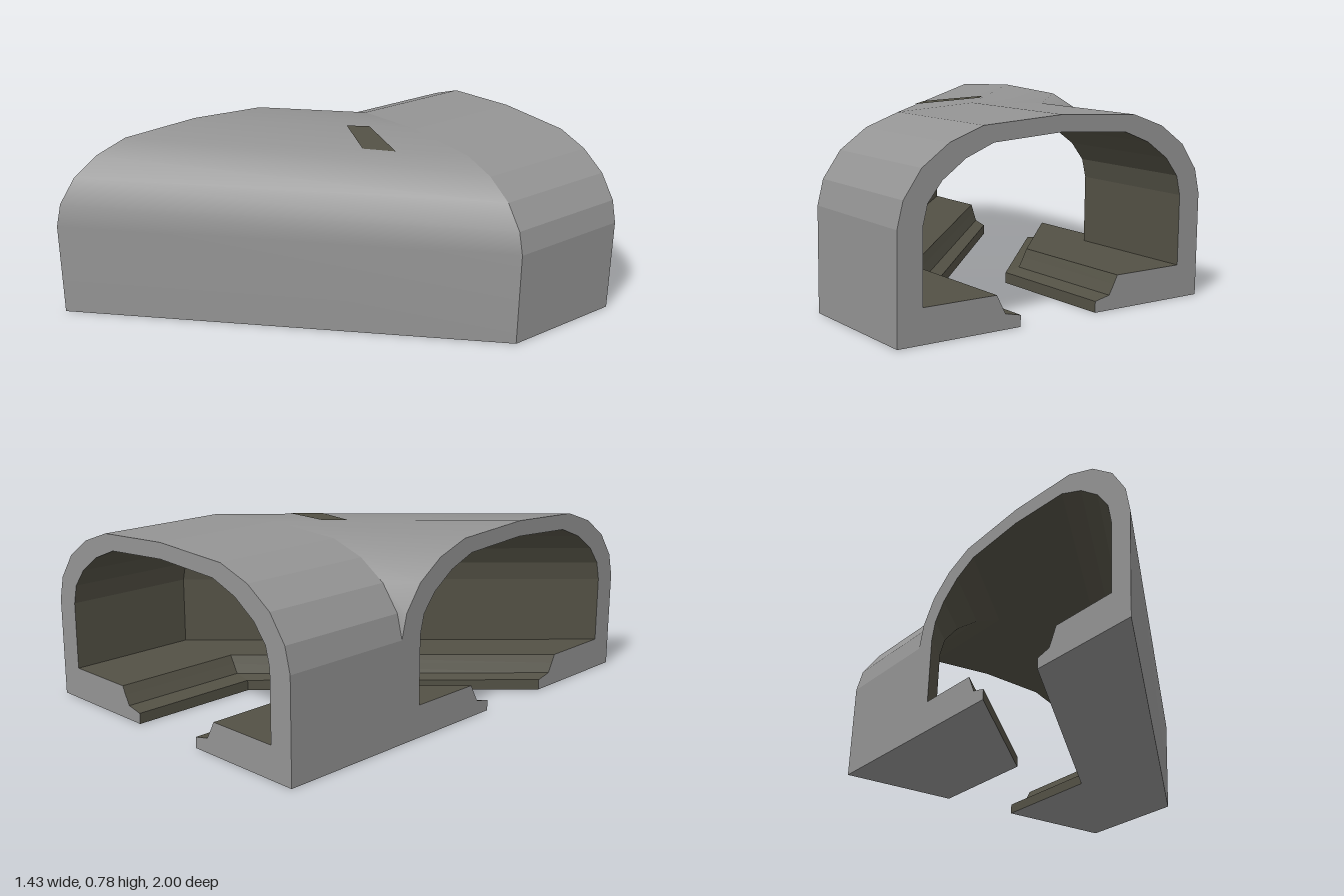
import * as THREE from 'three';

const W = 0.715;          // half width of the channel
const BACK = -1;          // open end of the straight leg
const MITRE = -0.43;      // plane where the two legs meet

// Places a profile point (s, y) at the back end, the mitre and the side end
const atBack = ([s, y]) => [s, y, BACK];
const atMitre = ([s, y]) => [s, y, MITRE];
const atSide = ([s, y]) => [-W, y, MITRE + s + W];

// Right half outlines, mirrored across s = 0
const outerHalf = [[W, 0], [W, 0.42], [0.69, 0.52], [0.615, 0.625], [0.5, 0.705], [0.355, 0.756], [0, 0.775]];
const innerHalf = [[0.18, 0], [0.18, 0.045], [0.25, 0.06], [0.272, 0.1], [0.29, 0.135], [0.61, 0.135],
  [0.61, 0.42], [0.59, 0.5], [0.53, 0.575], [0.43, 0.645], [0.31, 0.692], [0, 0.71]];
const mirrored = half => [...half, ...half.slice(0, -1).reverse().map(([s, y]) => [-s, y])];

// Ruled surface between two placements of one profile line
function ruled(points, from, to, smooth) {
  const positions = [], index = [];
  points.forEach(p => positions.push(...from(p), ...to(p)));
  for (let i = 0; i < points.length - 1; i++) {
    const a = 2 * i;
    index.push(a, a + 2, a + 3, a, a + 3, a + 1);
  }
  let g = new THREE.BufferGeometry();
  g.setAttribute('position', new THREE.Float32BufferAttribute(positions, 3));
  g.setIndex(index);
  if (!smooth) g = g.toNonIndexed();
  g.computeVertexNormals();
  return g;
}

// Flat end face of the wall, bent onto its cut plane
function endFace(profile, place, flip) {
  const g = new THREE.ShapeGeometry(new THREE.Shape(profile.map(p => new THREE.Vector2(...p))));
  const pos = g.attributes.position;
  for (let i = 0; i < pos.count; i++) pos.setXYZ(i, ...place([pos.getX(i), pos.getY(i)]));
  if (flip) g.setIndex([...g.index.array].reverse());
  g.computeVertexNormals();
  return g;
}

export function createModel() {
  const model = new THREE.Group();
  model.name = 'angledChannelCover';
  const shell = new THREE.MeshStandardMaterial({ color: 0x949494, side: THREE.DoubleSide });
  shell.name = 'shellGrey';
  const lining = new THREE.MeshStandardMaterial({ color: 0x535145, side: THREE.DoubleSide });
  lining.name = 'liningOlive';
  const add = (name, geometry, material) => {
    const mesh = new THREE.Mesh(geometry, material);
    mesh.name = name;
    model.add(mesh);
  };

  const outer = mirrored(outerHalf);
  const inner = mirrored(innerHalf).reverse();
  const legs = [['straightLeg', atBack, atMitre, false], ['angledLeg', atMitre, atSide, true]];

  // Outer arch, inner lining and the two floor undersides of each leg
  for (const [name, from, to, smooth] of legs) {
    add(name + 'Outside', ruled(outer, from, to, smooth), shell);
    add(name + 'Lining', ruled(inner, from, to, false), lining);
    add(name + 'LeftUnderside', ruled([[0.18, 0], [W, 0]], from, to, false), shell);
    add(name + 'RightUnderside', ruled([[-W, 0], [-0.18, 0]], from, to, false), shell);
  }

  // Cut faces of the wall at both open ends
  const profile = [...outer, ...inner];
  add('backEndFace', endFace(profile, atBack, true), shell);
  add('sideEndFace', endFace(profile, atSide, false), shell);

  // Small dark patch lying on the top of the angled leg
  const patch = new THREE.BufferGeometry();
  patch.setAttribute('position', new THREE.Float32BufferAttribute([
    -0.21, 0.778, -0.21, 0.03, 0.76, -0.115, 0.14, 0.759, -0.21, -0.14, 0.778, -0.285], 3));
  patch.setIndex([0, 1, 2, 0, 2, 3]);
  patch.computeVertexNormals();
  add('topPatch', patch, lining);

  return model;
}
